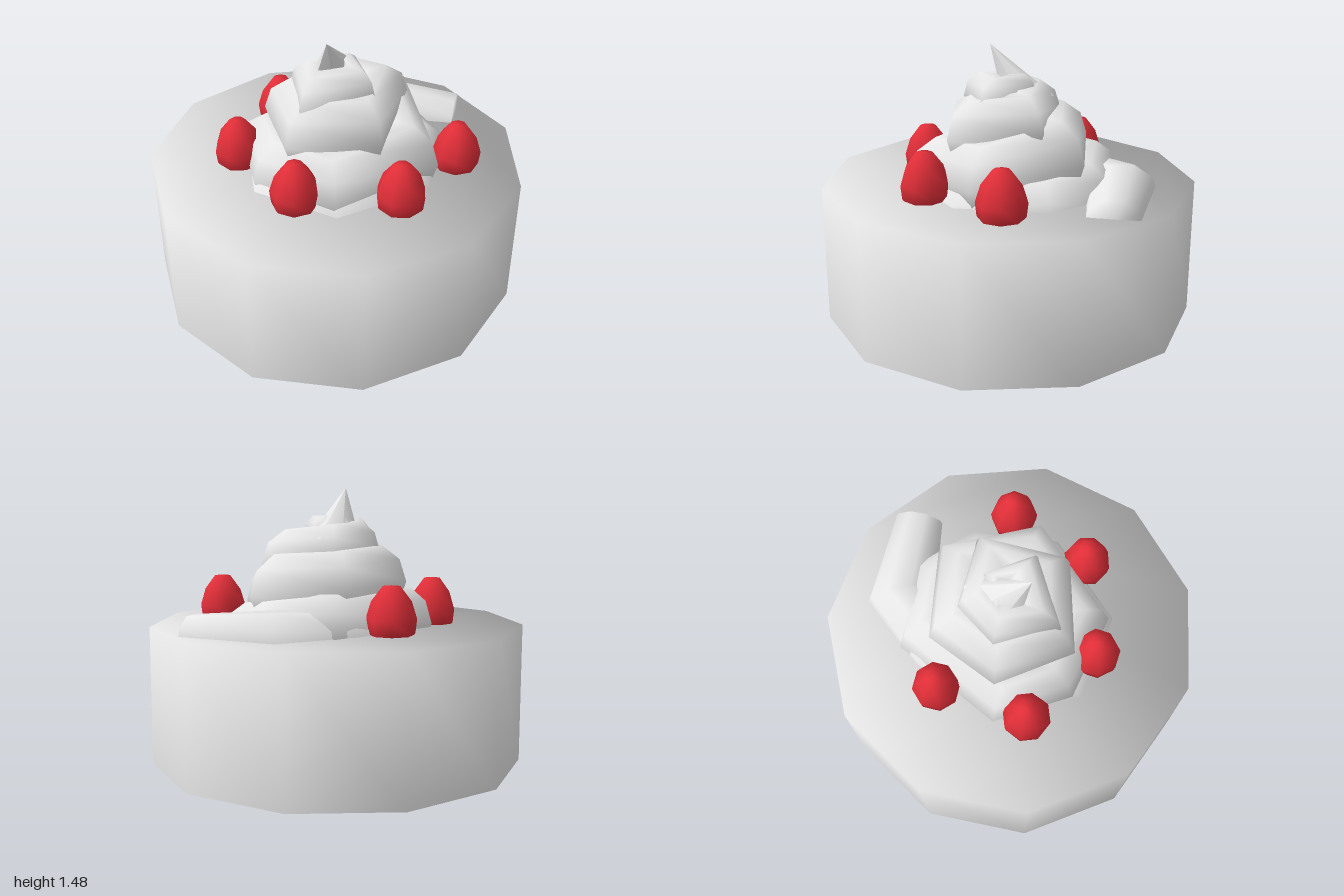
import * as THREE from 'three';

const icing = new THREE.MeshStandardMaterial({ color: 0xe8e8e8, side: THREE.DoubleSide });
icing.name = 'whiteIcing';
const red = new THREE.MeshStandardMaterial({ color: 0xe02e38 });
red.name = 'berryRed';

function surface(positions, index) {
  const g = new THREE.BufferGeometry();
  g.setAttribute('position', new THREE.Float32BufferAttribute(positions, 3));
  g.setIndex(index);
  g.computeVertexNormals();
  return g;
}

// Eleven-sided cake shell, open underneath, with soft shading shared over the rim
function cakeGeometry() {
  const n = 11, radius = 1.01, height = 0.75, pos = [], idx = [], normals = [];
  for (let i = 0; i < n; i++) {
    const a = Math.PI + (i / n) * Math.PI * 2;
    const sx = Math.sin(a), cz = Math.cos(a);
    const x = radius * sx, z = 0.02 + radius * cz;
    pos.push(x, 0, z, x, height, z);
    normals.push(sx, 0, cz, 0.87 * sx, 0.5, 0.87 * cz);
  }
  for (let i = 0; i < n; i++) {
    const a = i * 2, b = ((i + 1) % n) * 2;
    idx.push(a, b, a + 1, b, b + 1, a + 1);
    if (i > 0 && i < n - 1) idx.push(1, a + 1, b + 1);
  }
  const g = surface(pos, idx);
  g.setAttribute('normal', new THREE.Float32BufferAttribute(normals, 3));
  return g;
}

// Coiled rope of cream: x, y, z and thickness at each bend
const coil = [
  // loose end and sunken bottom turn
  [0.225, 0.70, -0.79, 0.005], [0.22, 0.70, -0.79, 0.15], [-0.2, 0.68, -0.58, 0.21],
  [-0.28, 0.65, -0.25, 0.22], [-0.28, 0.62, 0.2, 0.22], [-0.06, 0.61, 0.39, 0.22],
  [0.25, 0.62, 0.31, 0.22], [0.40, 0.64, -0.06, 0.21], [0.22, 0.67, -0.36, 0.21],
  // second turn
  [-0.02, 0.71, -0.43, 0.21], [-0.25, 0.75, -0.32, 0.21], [-0.29, 0.77, 0.21, 0.20],
  [-0.10, 0.78, 0.32, 0.20], [0.21, 0.79, 0.28, 0.20], [0.35, 0.84, -0.11, 0.21],
  // third turn
  [0.06, 0.93, -0.30, 0.22], [-0.19, 0.97, -0.14, 0.20], [-0.19, 0.99, 0.09, 0.20],
  [-0.01, 1.00, 0.21, 0.21], [0.21, 1.03, 0.05, 0.20], [0.12, 1.08, -0.17, 0.19],
  // top turns
  [-0.08, 1.14, -0.07, 0.16], [-0.11, 1.16, 0.05, 0.15], [-0.01, 1.17, 0.17, 0.15],
  [0.13, 1.21, 0.0, 0.125], [0.0, 1.24, -0.06, 0.10], [-0.05, 1.25, 0.01, 0.08],
  [0.0, 1.25, 0.04, 0.01],
];

function swirlGeometry(sides = 10) {
  const pos = [], idx = [];
  const up = new THREE.Vector3(0, 1, 0);
  const at = (i) => new THREE.Vector3(...coil[Math.max(0, Math.min(coil.length - 1, i))]);
  coil.forEach(([x, y, z, r], i) => {
    // Cross-section stands upright, facing out from the coil
    const out = at(i + 1).sub(at(i - 1)).setY(0).normalize().cross(up);
    for (let k = 0; k < sides; k++) {
      const a = (k / sides) * Math.PI * 2, c = r * Math.cos(a);
      pos.push(x + out.x * c, y + r * Math.sin(a), z + out.z * c);
    }
    if (i === coil.length - 1) return;
    for (let k = 0; k < sides; k++) {
      const a = i * sides + k, b = i * sides + ((k + 1) % sides);
      idx.push(a, a + sides, b, b, a + sides, b + sides);
    }
  });
  return surface(pos, idx);
}

// Leaning peak pulled up from the centre of the swirl
function peakGeometry() {
  const h = 0.26;
  const g = new THREE.ConeGeometry(0.1, h, 7, 1, true).translate(0, h / 2, 0);
  const p = g.attributes.position;
  for (let i = 0; i < p.count; i++) {
    const t = p.getY(i) / h;
    p.setXYZ(i, p.getX(i) - 0.06 + 0.09 * t, 1.22 + p.getY(i), p.getZ(i) * 1.7 - 0.05 + 0.17 * t);
  }
  g.computeVertexNormals();
  return g;
}

export function createModel() {
  const group = new THREE.Group();
  group.name = 'berryCake';
  const add = (geometry, material, name) => {
    const mesh = new THREE.Mesh(geometry, material);
    mesh.name = name;
    group.add(mesh);
    return mesh;
  };

  add(cakeGeometry(), icing, 'cakeBase');
  add(swirlGeometry(), icing, 'creamSwirl');
  add(peakGeometry(), icing, 'creamPeak');

  // Egg-shaped berries around the swirl
  const profile = [[0, 0.66], [0.07, 0.68], [0.122, 0.76], [0.13, 0.83], [0.102, 0.92], [0.045, 0.995], [0, 1.0]]
    .map(([x, y]) => new THREE.Vector2(x, y));
  const berry = new THREE.LatheGeometry(profile, 8);
  const spots = [[-0.515, -0.09], [-0.368, 0.39], [0.135, 0.485], [0.545, 0.14], [0.535, -0.35]];
  spots.forEach(([x, z], i) => {
    const mesh = add(berry, red, 'berry' + (i + 1));
    mesh.position.set(x, 0, z);
    mesh.rotation.y = i * 0.35;
  });
  return group;
}
